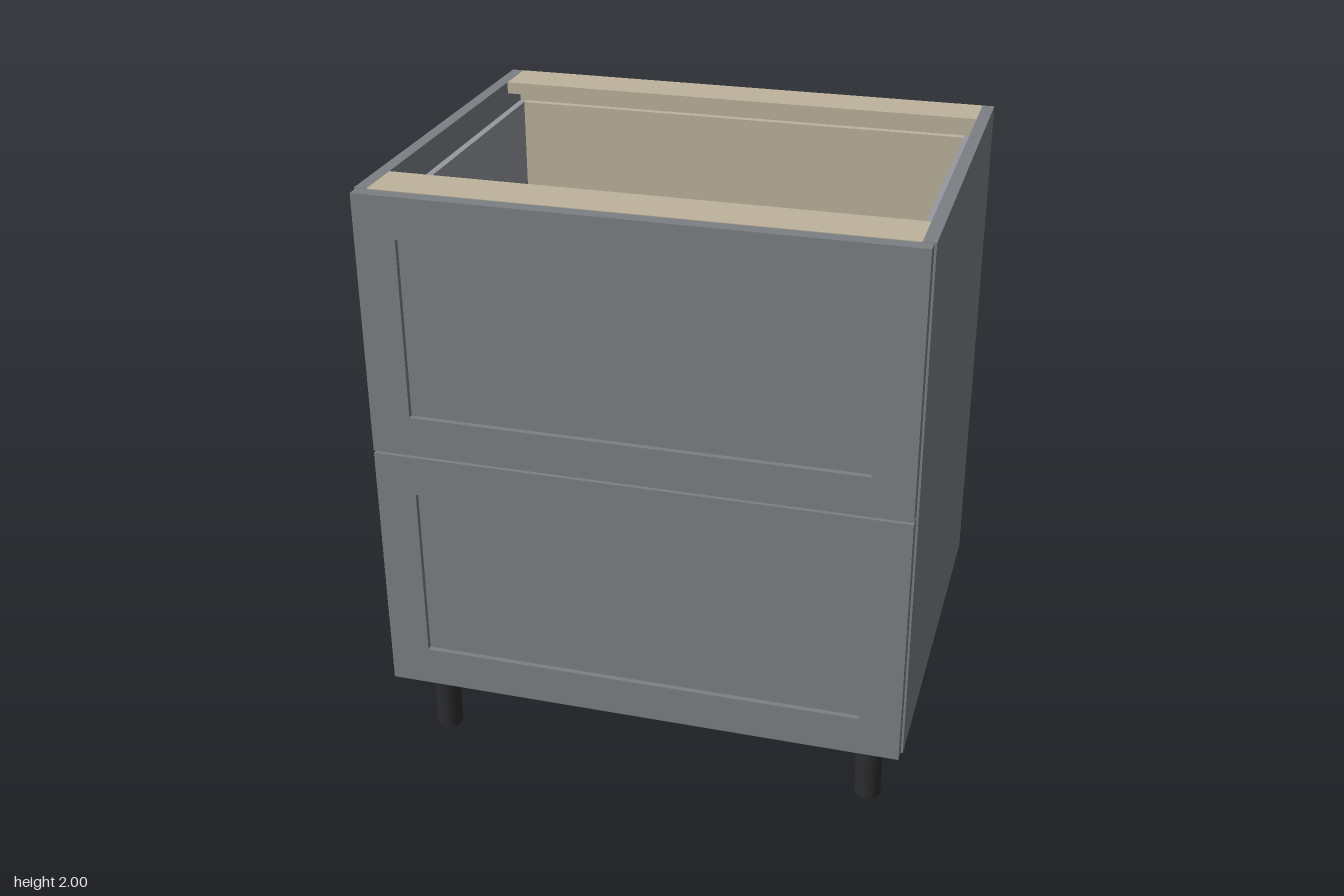
import * as THREE from 'three';

const mat = (color) => new THREE.MeshStandardMaterial({ color });

export function createModel() {
  const cabinet = new THREE.Group();
  cabinet.name = 'drawerCabinet';
  const grey = mat(0x7b8084), beige = mat(0xbdb39d), metal = mat(0x9698a0), black = mat(0x2b2c2d);

  // Box given by its minimum and maximum corners
  const panel = (parent, name, material, [x0, y0, z0], [x1, y1, z1]) => {
    const mesh = new THREE.Mesh(new THREE.BoxGeometry(x1 - x0, y1 - y0, z1 - z0), material);
    mesh.position.set((x0 + x1) / 2, (y0 + y1) / 2, (z0 + z1) / 2);
    mesh.name = name;
    parent.add(mesh);
  };

  const W = 0.87, IN = 0.83, BASE = 0.267, TOP = 2, BACK = -0.693, FRONT = 0.645, FACE = 0.69;

  // Carcass: sides, bottom, back and the two top rails
  panel(cabinet, 'leftSide', grey, [IN, BASE, BACK], [W, TOP, FRONT]);
  panel(cabinet, 'rightSide', grey, [-W, BASE, BACK], [-IN, TOP, FRONT]);
  panel(cabinet, 'bottomPanel', beige, [-IN, BASE, BACK], [IN, BASE + 0.04, FRONT]);
  panel(cabinet, 'backPanel', beige, [-IN, BASE + 0.04, BACK], [IN, TOP - 0.04, BACK + 0.04]);
  panel(cabinet, 'backRail', beige, [-IN, TOP - 0.04, BACK], [IN, TOP, -0.53]);
  panel(cabinet, 'frontRail', beige, [-IN, TOP - 0.04, 0.48], [IN, TOP, FRONT]);

  // Drawers: framed front with recessed panel, metal sides, wooden bottom and back
  const addDrawer = (name, y0) => {
    const drawer = new THREE.Group();
    drawer.name = name;
    drawer.position.y = y0;
    cabinet.add(drawer);
    const w = 0.863, h = 0.859, px = 0.73, p0 = 0.133, p1 = 0.725;

    const outline = new THREE.Shape([[-w, 0], [w, 0], [w, h], [-w, h]].map((p) => new THREE.Vector2(...p)));
    outline.holes.push(new THREE.Path([[-px, p0], [-px, p1], [px, p1], [px, p0]].map((p) => new THREE.Vector2(...p))));
    const frame = new THREE.Mesh(
      new THREE.ExtrudeGeometry(outline, { depth: FACE - FRONT, bevelEnabled: false }), grey);
    frame.position.z = FRONT;
    frame.name = 'frontFrame';
    drawer.add(frame);
    panel(drawer, 'recessedPanel', grey, [-px, p0, FRONT], [px, p1, FACE - 0.018]);

    panel(drawer, 'leftDrawerSide', metal, [0.787, 0.06, -0.6], [0.81, 0.78, FRONT]);
    panel(drawer, 'rightDrawerSide', metal, [-0.81, 0.06, -0.6], [-0.787, 0.78, FRONT]);
    panel(drawer, 'drawerBottom', beige, [-0.787, 0.06, -0.6], [0.787, 0.09, FRONT]);
    panel(drawer, 'drawerBack', beige, [-0.787, 0.09, -0.6], [0.787, 0.78, -0.575]);
  };
  addDrawer('lowerDrawer', 0.272);
  addDrawer('upperDrawer', 1.139);

  // Four round legs
  const legGeometry = new THREE.CylinderGeometry(0.044, 0.044, BASE, 32);
  for (const x of [-0.745, 0.745]) {
    for (const z of [-0.54, 0.525]) {
      const leg = new THREE.Mesh(legGeometry, black);
      leg.position.set(x, BASE / 2, z);
      leg.name = 'leg';
      cabinet.add(leg);
    }
  }
  return cabinet;
}
